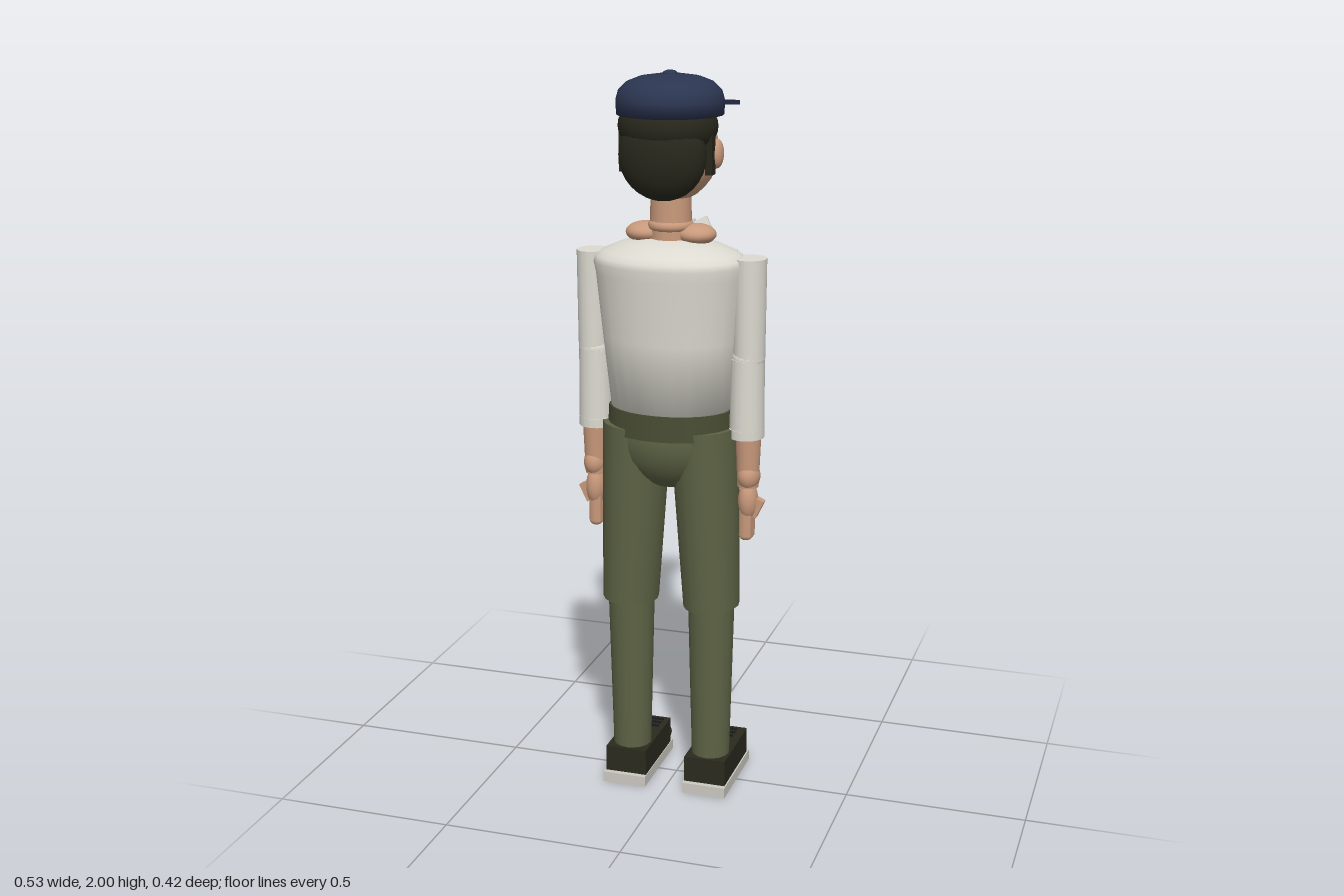
import * as THREE from 'three';

const mat = (name, color) => {
  const m = new THREE.MeshStandardMaterial({ color });
  m.name = name;
  return m;
};

export function createModel() {
  const root = new THREE.Group();
  root.name = 'standingMan';
  const skin = mat('skin', 0xc8997b);
  const shirt = mat('shirt', 0xdcdad0);
  const olive = mat('trousers', 0x5d6345);
  const darkOlive = mat('waistband', 0x484d33);
  const navy = mat('cap', 0x2b3550);
  const hair = mat('hair', 0x28271c);
  const shoe = mat('shoeLeather', 0x2a2a1e);
  const sole = mat('sole', 0xcbc9c0);
  const metal = mat('glassesFrame', 0x1c1c1c);

  const add = (name, geo, m, p = [0, 0, 0], r = [0, 0, 0], s = [1, 1, 1]) => {
    const mesh = new THREE.Mesh(geo, m);
    mesh.name = name;
    mesh.position.set(...p);
    mesh.rotation.set(...r);
    mesh.scale.set(...s);
    root.add(mesh);
    return mesh;
  };
  const ball = (name, m, p, s, r) => add(name, new THREE.SphereGeometry(1, 24, 16), m, p, r, s);
  const box = (name, m, p, s, r) => add(name, new THREE.BoxGeometry(...s), m, p, r);
  const lathe = (name, m, pts, p, s) =>
    add(name, new THREE.LatheGeometry(pts.map(q => new THREE.Vector2(...q)), 24), m, p, [0, 0, 0], s);
  // tapered limb between two points
  const limb = (name, m, a, b, ra, rb, s = [1, 1]) => {
    const A = new THREE.Vector3(...a), B = new THREE.Vector3(...b);
    const mesh = add(name, new THREE.CylinderGeometry(rb, ra, A.distanceTo(B), 16), m);
    mesh.position.copy(A).lerp(B, 0.5);
    mesh.quaternion.setFromUnitVectors(new THREE.Vector3(0, 1, 0), B.sub(A).normalize());
    mesh.scale.set(s[0], 1, s[1]);
    return mesh;
  };

  // torso and shirt details
  lathe('shirtBody', shirt, [[0, 1.1], [0.163, 1.1], [0.185, 1.3], [0.203, 1.47], [0.21, 1.5],
    [0.204, 1.517], [0.185, 1.53], [0.14, 1.55], [0.08, 1.565], [0, 1.57]], [0, 0, 0.052], [1, 1, 0.735]);
  box('buttonPlacket', shirt, [0, 1.365, -0.095], [0.035, 0.45, 0.012], [-0.06, 0, 0]);
  for (let i = 0; i < 5; i++)
    ball('shirtButton', sole, [0, 1.195 + i * 0.073, -0.113 - i * 0.003], [0.008, 0.008, 0.006]);
  box('chestPocket', shirt, [0.1, 1.46, -0.1], [0.075, 0.095, 0.014], [-0.06, -0.25, 0]);
  box('pocketFlap', shirt, [0.1, 1.505, -0.106], [0.08, 0.016, 0.014], [-0.06, -0.25, 0]);
  for (const s of [-1, 1])
    box('collarTab', shirt, [s * 0.038, 1.565, -0.1], [0.055, 0.05, 0.012], [-0.3, 0, s * 0.5]);

  // neck and collarbone
  limb('neck', skin, [0, 1.54, 0.05], [0, 1.7, 0.05], 0.057, 0.053);
  add('neckFold', new THREE.TorusGeometry(0.047, 0.014, 10, 20), skin, [0, 1.6, 0.052], [Math.PI / 2, 0, 0]);
  for (const s of [-1, 1])
    ball('neckBase', skin, [s * 0.07, 1.578, 0.05], [0.053, 0.028, 0.052]);

  // head, hair and face
  ball('head', skin, [0, 1.795, 0.045], [0.124, 0.135, 0.128]);
  ball('hairTop', hair, [0, 1.86, 0.075], [0.131, 0.085, 0.12]);
  ball('hairBack', hair, [0, 1.79, 0.122], [0.117, 0.118, 0.073]);
  ball('nose', skin, [0, 1.785, -0.086], [0.018, 0.026, 0.02]);
  for (const s of [-1, 1]) {
    ball('ear', skin, [s * 0.125, 1.79, 0.05], [0.017, 0.038, 0.027]);
    box('sideburn', hair, [s * 0.117, 1.8, 0.085], [0.018, 0.12, 0.03]);
    ball('cheek', skin, [s * 0.055, 1.775, -0.05], [0.03, 0.026, 0.024]);
    ball('eye', metal, [s * 0.043, 1.812, -0.072], [0.011, 0.011, 0.008]);
    box('eyebrow', hair, [s * 0.045, 1.85, -0.068], [0.045, 0.01, 0.014], [0, 0, -s * 0.1]);
    // square spectacle rim
    for (const d of [-1, 1]) {
      box('lensBar', metal, [s * 0.045, 1.812 + d * 0.027, -0.088], [0.06, 0.006, 0.006]);
      box('lensSide', metal, [s * 0.045 + d * 0.03, 1.812, -0.088], [0.006, 0.06, 0.006]);
    }
    limb('templeArm', metal, [s * 0.075, 1.825, -0.088], [s * 0.122, 1.81, 0.03], 0.004, 0.004);
    // curled moustache
    [[0.018, 1.737, -0.075, 0.015], [0.042, 1.73, -0.064, 0.013], [0.064, 1.727, -0.046, 0.011],
      [0.083, 1.735, -0.022, 0.012]].forEach(([x, y, z, r]) =>
      ball('moustache', hair, [s * x, y, z], [r * 1.2, r, r]));
  }
  box('noseBridge', metal, [0, 1.82, -0.09], [0.034, 0.006, 0.006]);

  // cap
  lathe('capCrown', navy, [[0, 1.888], [0.14, 1.888], [0.141, 1.925], [0.134, 1.95], [0.113, 1.97],
    [0.08, 1.983], [0.04, 1.989], [0, 1.991]], [0, 0, 0.056]);
  ball('capButton', navy, [0, 1.99, 0.056], [0.02, 0.01, 0.02]);
  box('capVisor', navy, [0, 1.902, -0.122], [0.224, 0.012, 0.175], [-0.1, 0, 0]);

  // waist and hips
  add('waistband', new THREE.CylinderGeometry(0.172, 0.176, 0.07, 24), darkOlive, [0, 1.074, 0.047], [0, 0, 0], [1, 1, 0.745]);
  ball('pelvis', olive, [0, 1.03, 0.047], [0.165, 0.15, 0.128]);
  ball('waistButton', shoe, [0, 1.07, -0.086], [0.011, 0.011, 0.006]);
  box('fly', darkOlive, [0, 0.945, -0.062], [0.014, 0.11, 0.012]);

  for (const s of [-1, 1]) {
    // arm
    add('upperSleeve', new THREE.CylinderGeometry(0.044, 0.042, 0.27, 16), shirt, [s * 0.217, 1.388, 0.051], [0, 0, 0], [1, 1, 1.1]);
    ball('elbow', shirt, [s * 0.215, 1.255, 0.051], [0.044, 0.035, 0.047]);
    add('lowerSleeve', new THREE.CylinderGeometry(0.045, 0.047, 0.215, 16), shirt, [s * 0.213, 1.1475, 0.051], [0, 0, 0], [1, 1, 1.08]);
    add('sleeveCuff', new THREE.CylinderGeometry(0.048, 0.048, 0.025, 16), shirt, [s * 0.212, 1.052, 0.051], [0, 0, 0], [1, 1, 1.08]);
    limb('forearm', skin, [s * 0.217, 0.9, 0.05], [s * 0.217, 1.05, 0.05], 0.029, 0.035);
    ball('wrist', skin, [s * 0.219, 0.93, 0.05], [0.031, 0.04, 0.038]);
    ball('palm', skin, [s * 0.218, 0.86, 0.05], [0.027, 0.055, 0.032]);
    box('thumb', skin, [s * 0.243, 0.842, 0.05], [0.022, 0.052, 0.022], [0, 0, -s * 0.45]);
    for (const z of [0.036, 0.05, 0.063])
      add('finger', new THREE.CapsuleGeometry(0.0125, 0.075, 4, 8), skin, [s * 0.215, 0.8, z], [0, 0, 0], [1.5, 1, 0.9]);

    // leg
    limb('thigh', olive, [s * 0.117, 0.55, 0.052], [s * 0.095, 1.06, 0.052], 0.077, 0.093, [1, 1.12]);
    limb('shin', olive, [s * 0.116, 0.1, 0.05], [s * 0.116, 0.58, 0.05], 0.053, 0.065);
    box('hipPocket', darkOlive, [s * 0.12, 1.005, -0.052], [0.07, 0.008, 0.012], [0, -s * 0.6, s * 0.5]);

    // shoe
    box('shoeUpper', shoe, [s * 0.116, 0.066, -0.005], [0.118, 0.076, 0.232]);
    ball('shoeToe', shoe, [s * 0.113, 0.058, -0.118], [0.059, 0.034, 0.046]);
    box('shoeSole', sole, [s * 0.117, 0.015, -0.005], [0.124, 0.03, 0.262]);
    for (const z of [-0.055, -0.078, -0.1])
      box('lace', metal, [s * 0.112, 0.106, z], [0.08, 0.006, 0.007]);
  }
  return root;
}
